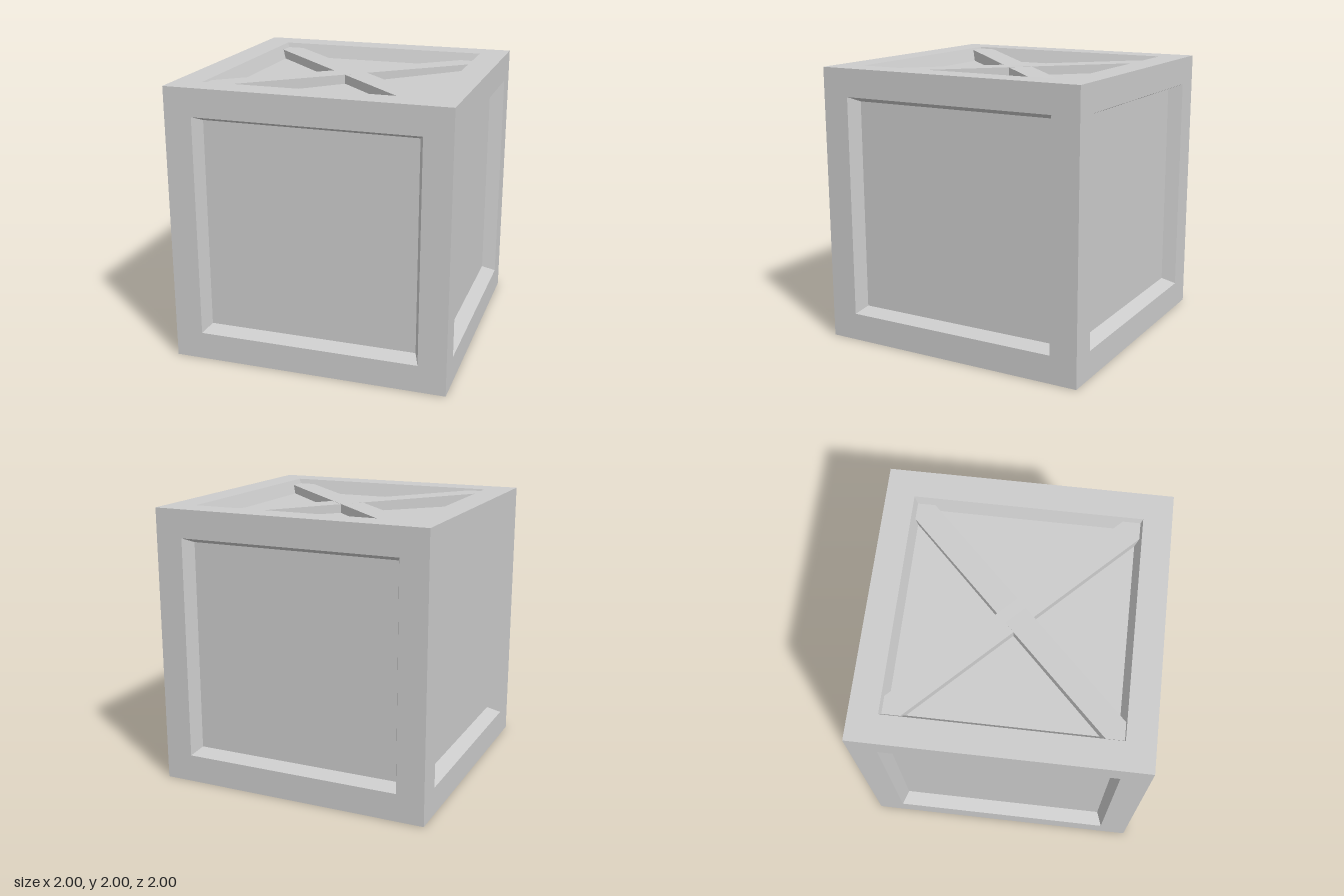
import * as THREE from 'three';

export function createModel() {
  const group = new THREE.Group();
  const material = new THREE.MeshStandardMaterial({ color: 0xcccccc, flatShading: true });

  // One crate side: flat square rim, sloped step and sunken panel, as a four-sided lathe
  const profile = [[1, 1], [0.8, 1], [0.76, 0.9], [0, 0.9]]
    .map(([r, y]) => new THREE.Vector2(r * Math.SQRT2, y));
  const sideGeometry = new THREE.LatheGeometry(profile, 4, Math.PI / 4);

  const sides = {
    topSide: [0, 0], bottomSide: [Math.PI, 0],
    frontSide: [Math.PI / 2, 0], backSide: [-Math.PI / 2, 0],
    leftSide: [0, -Math.PI / 2], rightSide: [0, Math.PI / 2],
  };
  for (const [name, [rx, rz]] of Object.entries(sides)) {
    const side = new THREE.Mesh(sideGeometry, material);
    side.name = name;
    side.rotation.set(rx, 0, rz);
    side.position.y = 1;
    group.add(side);
  }

  // Crossed diagonal braces on top and bottom; their ends run into the rim
  const braceGeometry = new THREE.BoxGeometry(2.4, 0.12, 0.175);
  for (const [place, y] of [['top', 1.905], ['bottom', 0.095]]) {
    // One brace of each pair is very slightly tilted
    for (const [kind, yaw, tilt] of [['Tilted', Math.PI / 4, -0.02], ['Level', -Math.PI / 4, 0]]) {
      const brace = new THREE.Mesh(braceGeometry, material);
      brace.name = `${place}${kind}Brace`;
      brace.rotation.set(0, yaw, tilt);
      brace.position.y = y;
      group.add(brace);
    }
  }
  return group;
}
